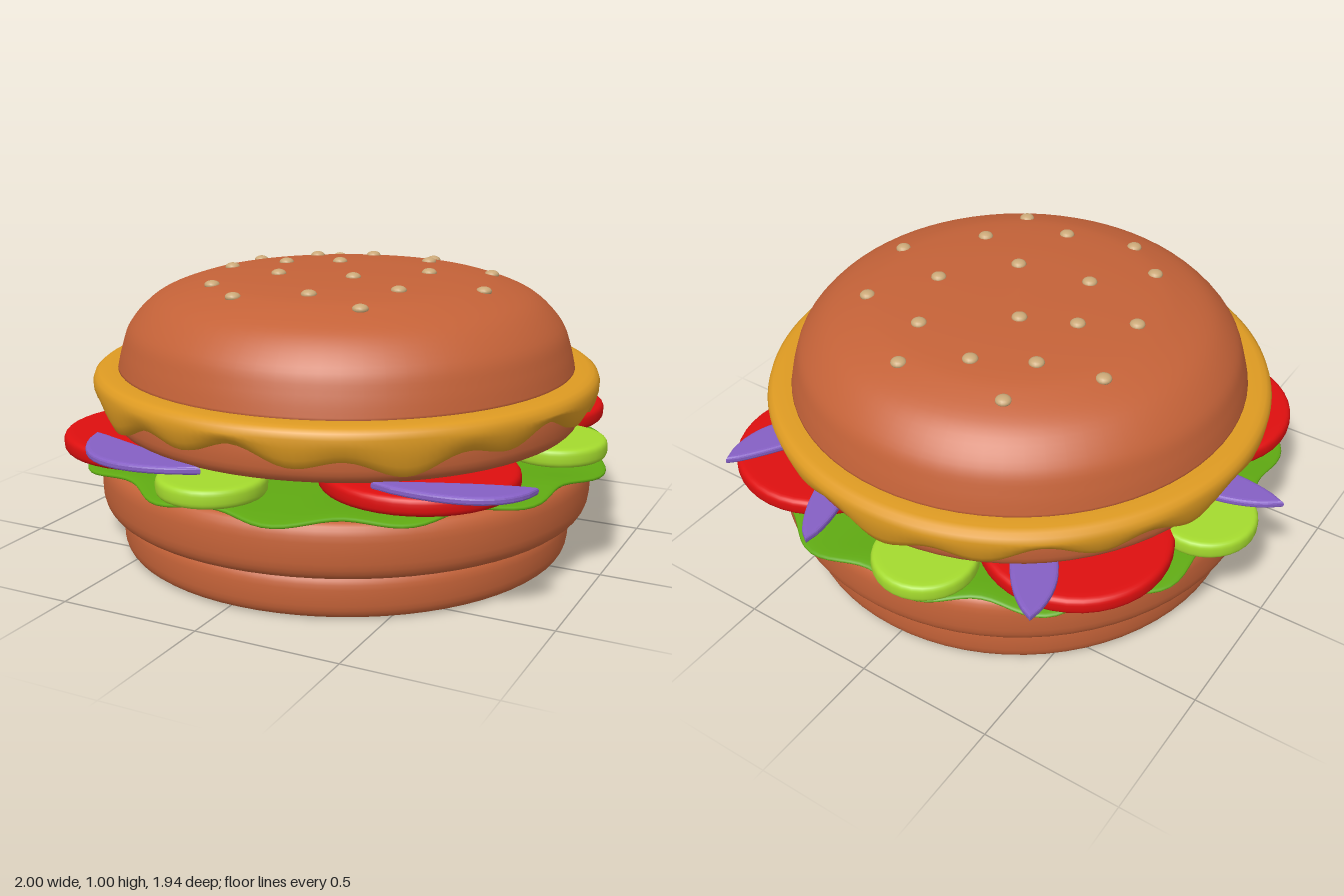
import * as THREE from 'three';
import { mergeVertices } from 'three/addons/utils/BufferGeometryUtils.js';

const CX = 0.03; // axis shared by the stacked layers

function mat(name, color) {
  const m = new THREE.MeshStandardMaterial({ color });
  m.name = name;
  return m;
}

// Rounded slab profile, from bottom centre around the rim to top centre
function slab(r, y0, y1, rim) {
  const pts = [new THREE.Vector2(0, y0), new THREE.Vector2((r - rim) * 0.96, y0)];
  const h = (y1 - y0) / 2, n = 14;
  for (let i = 0; i <= n; i++) {
    const a = -Math.PI / 2 + (Math.PI * i) / n;
    const c = Math.max(0, Math.cos(a)), s = Math.sin(a);
    pts.push(new THREE.Vector2(r - rim + rim * c ** 0.6, (y0 + y1) / 2 + h * Math.sign(s) * Math.abs(s) ** 0.7));
  }
  pts.push(new THREE.Vector2((r - rim) * 0.96, y1), new THREE.Vector2(0, y1));
  return pts;
}

// Lathe whose vertices are moved by a rule, then smoothed without a seam
function warpedLathe(pts, segments, rule) {
  let g = new THREE.LatheGeometry(pts, segments);
  const p = g.attributes.position, v = new THREE.Vector3();
  for (let i = 0; i < p.count; i++) {
    v.fromBufferAttribute(p, i);
    rule(v, Math.atan2(v.x, v.z), Math.hypot(v.x, v.z));
    p.setXYZ(i, v.x, v.y, v.z);
  }
  g.deleteAttribute('uv');
  g.deleteAttribute('normal');
  g = mergeVertices(g, 1e-4);
  g.computeVertexNormals();
  return g;
}

export function createModel() {
  const group = new THREE.Group();
  const brown = mat('toasted brown', 0xc46238);
  const yellow = mat('cheese yellow', 0xdd9a22);
  const green = mat('lettuce green', 0x5fa912);
  const red = mat('tomato red', 0xdd0f0f);
  const lime = mat('pickle lime', 0xa4da2e);
  const purple = mat('onion purple', 0x855fc4);
  const tan = mat('sesame tan', 0xcaa878);

  const add = (name, geometry, material, x = CX, y = 0, z = 0) => {
    const m = new THREE.Mesh(geometry, material);
    m.name = name;
    m.position.set(x, y, z);
    group.add(m);
    return m;
  };

  // Bottom bun and the two patties
  add('bottomBun', new THREE.LatheGeometry(slab(0.815, 0, 0.155, 0.06), 72), brown);
  add('lowerPatty', new THREE.LatheGeometry(slab(0.885, 0.155, 0.352, 0.075), 72), brown);
  add('upperPatty', new THREE.LatheGeometry(slab(0.845, 0.453, 0.62, 0.09), 72), brown);

  // Lettuce: thin leaf with a frilled rim
  add('lettuce', warpedLathe(slab(0.93, 0.355, 0.382, 0.2), 168, (v, a, r) => {
    const t = THREE.MathUtils.smoothstep(r, 0.7, 0.93);
    const k = 1 + t * (0.028 * Math.cos(14 * (a - 1.57)) + 0.012 * Math.sin(5 * a + 0.3));
    v.x *= k;
    v.z *= k;
    v.y += t * 0.007 * Math.sin(14 * a + 2);
  }), green);

  // Tomato slices
  for (const [x, z] of [[-0.5, 0.43], [0.5, 0.42], [0.5, -0.53], [-0.48, -0.43]])
    add('tomatoSlice', new THREE.LatheGeometry(slab(0.33, 0.38, 0.445, 0.04), 40), red, x, 0, z);

  // Pickle slices
  for (const [x, z] of [[-0.06, 0.785], [0.79, -0.1], [-0.12, -0.78], [-0.79, -0.1]])
    add('pickleSlice', new THREE.LatheGeometry(slab(0.18, 0.378, 0.443, 0.03), 32), lime, x, 0, z);

  // Onion crescents: tip, outer control, other tip, inner control (x, z)
  const crescents = [
    [-0.6, 0.65, -0.49, 1.0, -0.1, 0.82, -0.33, 0.74],
    [0.92, 0.54, 0.87, 0.77, 0.48, 0.7, 0.74, 0.58],
    [-0.985, 0.05, -0.74, 0.14, -0.5, 0.0, -0.78, -0.1],
    [-0.57, -0.84, -0.6, -0.6, -0.3, -0.45, -0.4, -0.76],
    [0.23, -0.955, 0.22, -0.72, 0.42, -0.5, 0.35, -0.85],
    [0.72, -0.8, 0.8, -0.55, 0.5, -0.4, 0.6, -0.65],
  ];
  for (const [ax, az, ox, oz, bx, bz, ix, iz] of crescents) {
    const s = new THREE.Shape();
    s.moveTo(ax, az);
    s.quadraticCurveTo(ox, oz, bx, bz);
    s.quadraticCurveTo(ix, iz, ax, az);
    const g = new THREE.ExtrudeGeometry(s, {
      depth: 0.01, bevelThickness: 0.009, bevelSize: 0.015, bevelSegments: 3, curveSegments: 14,
    });
    g.rotateX(Math.PI / 2);
    add('onionSlice', g, purple, 0, 0.46, 0);
  }

  // Melted cheese with drips along the lower edge
  const cheeseProfile = [
    [0.83, 0.6], [0.835, 0.55], [0.855, 0.535], [0.875, 0.54], [0.89, 0.565], [0.9, 0.595],
    [0.902, 0.62], [0.895, 0.64], [0.88, 0.652], [0.86, 0.657], [0.82, 0.658], [0, 0.658],
  ].map(([x, y]) => new THREE.Vector2(x, y));
  add('cheese', warpedLathe(cheeseProfile, 180, (v, a, r) => {
    if (r < 0.8) return;
    const w = THREE.MathUtils.clamp((0.62 - v.y) / 0.07, 0, 1);
    const b = a - 0.67;
    v.y -= w * (0.022 * Math.cos(15 * b) + 0.02 * Math.cos(5 * b) + 0.008 * Math.sin(4 * a));
  }), yellow);

  // Top bun: flat underside and a dome
  const dome = new THREE.SplineCurve([
    [0.815, 0.655], [0.797, 0.73], [0.765, 0.81], [0.68, 0.895], [0.56, 0.945],
    [0.45, 0.967], [0.25, 0.981], [0, 0.985],
  ].map(([x, y]) => new THREE.Vector2(x, y))).getPoints(35);
  const base = [[0, 0.65], [0.77, 0.65], [0.805, 0.65]].map(([x, y]) => new THREE.Vector2(x, y));
  add('topBun', new THREE.LatheGeometry([...base, ...dome], 72), brown);

  // Sesame seeds resting on the dome (x, z)
  const domeHeight = (r) => {
    const i = dome.findIndex((p) => p.x <= r);
    const a = dome[i - 1], b = dome[i];
    return a.y + ((b.y - a.y) * (r - a.x)) / (b.x - a.x);
  };
  const seeds = [
    [-0.25, -0.51], [0.14, -0.54], [-0.06, -0.42], [0.2, -0.35], [-0.25, -0.32], [0.47, -0.29],
    [-0.46, -0.25], [-0.07, -0.15], [-0.25, -0.07], [0.31, -0.09], [0.56, 0.03], [-0.41, 0.05],
    [0.12, 0.13], [-0.15, 0.17], [0.34, 0.24], [-0.3, 0.37], [0.1, 0.42], [-0.14, 0.5], [0.31, 0.47],
  ];
  const seedGeometry = new THREE.SphereGeometry(0.027, 16, 10);
  for (const [x, z] of seeds) {
    const y = domeHeight(Math.hypot(x - CX, z));
    add('sesameSeed', seedGeometry, tan, x, y, z).scale.y = 0.6;
  }
  return group;
}
